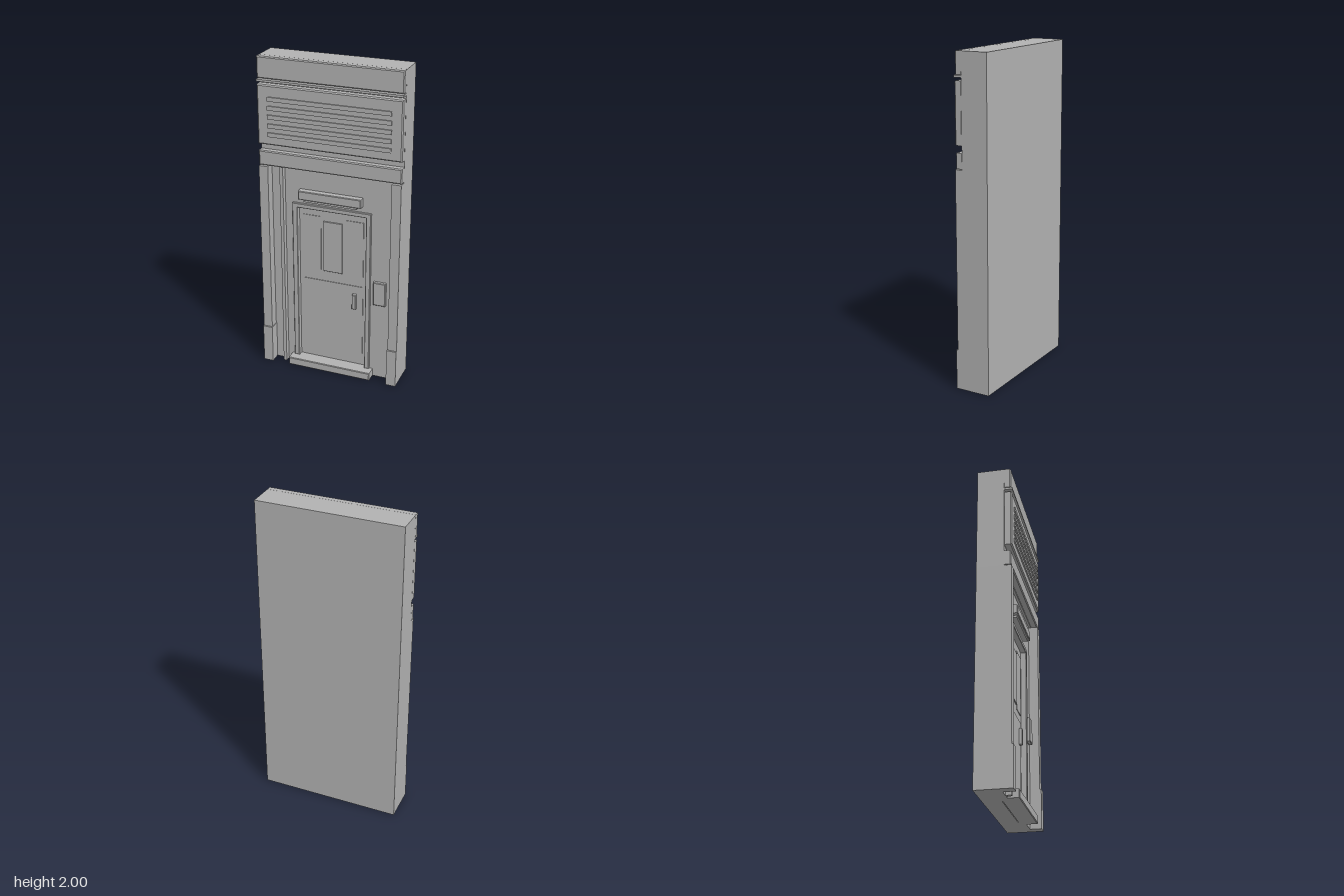
import * as THREE from 'three';

export function createModel() {
  const model = new THREE.Group();
  model.name = 'doorFacade';
  const grey = new THREE.MeshStandardMaterial({ color: 0xb2b2b2 });
  grey.name = 'plain grey';

  // Box given by its limits on each axis; an optional bevel chamfers the edges.
  function block(name, x0, x1, y0, y1, z0, z1, bevel = 0) {
    const w = x1 - x0, h = y1 - y0, d = z1 - z0;
    let geo;
    if (bevel > 0) {
      const a = w / 2 - bevel, b = h / 2 - bevel;
      const shape = new THREE.Shape([
        new THREE.Vector2(-a, -b), new THREE.Vector2(a, -b),
        new THREE.Vector2(a, b), new THREE.Vector2(-a, b),
      ]);
      geo = new THREE.ExtrudeGeometry(shape, {
        depth: d - 2 * bevel, bevelEnabled: true, bevelSegments: 1,
        bevelSize: bevel, bevelThickness: bevel,
      });
      geo.translate(0, 0, bevel - d / 2);
    } else {
      geo = new THREE.BoxGeometry(w, h, d);
    }
    const mesh = new THREE.Mesh(geo, grey);
    mesh.name = name;
    mesh.position.set((x0 + x1) / 2, (y0 + y1) / 2, (z0 + z1) / 2);
    model.add(mesh);
    return mesh;
  }

  const W = 0.445, BACK = -0.11, WALL = 0.04, DOOR = 0.02, TOP = 1.335;

  // Upper wall, and lower wall built around the door opening
  block('upperWall', -W, W, TOP, 2, BACK, 0.055);
  block('lowerWallCore', -W, W, 0, TOP, BACK, 0);
  for (const s of [-1, 1]) {
    const [a, b] = s < 0 ? [-W, -0.22] : [0.22, W];
    block('lowerWallSide', a, b, 0, TOP, 0, WALL);
  }
  block('lowerWallHead', -0.22, 0.22, 1.08, TOP, 0, WALL);

  // Corner pilasters with plinths
  for (const s of [-1, 1]) {
    const span = (inner) => (s < 0 ? [-W, -inner] : [inner, W]);
    block('pilaster', ...span(0.387), 0, TOP, WALL, 0.1);
    block('plinth', ...span(0.383), 0, 0.245, WALL, 0.11);
  }

  // Horizontal bands on the upper wall
  block('lintel', -W, W, 1.34, 1.432, 0.05, 0.096, 0.006);
  block('louverPanel', -W, W, 1.473, 1.836, 0.05, 0.1, 0.007);
  block('ledge', -W, W, 1.853, 1.866, 0.05, 0.104);
  block('topBand', -W, W, 1.87, 2, 0.05, 0.094, 0.006);
  for (let i = 0; i < 5; i++) {
    const y = 1.754 - i * 0.054;
    block('louverSlat', -0.38, 0.38, y - 0.013, y + 0.013, 0.098, 0.108);
  }

  // Door frame and sill
  block('frameLeft', 0.22, 0.25, 0.05, 1.108, DOOR, 0.055, 0.003);
  block('frameRight', -0.253, -0.22, 0.05, 1.108, DOOR, 0.055, 0.003);
  block('frameHead', -0.253, 0.25, 1.08, 1.108, DOOR, 0.055, 0.003);
  block('sill', -0.272, 0.272, 0, 0.05, 0, 0.108, 0.004);

  // Door leaf with raised panels and handle
  block('doorLeaf', -0.22, 0.22, 0.05, 1.08, 0, DOOR);
  block('sidePanel', -0.195, -0.079, 0.65, 1.03, DOOR, DOOR + 0.004);
  block('sidePanel', 0.079, 0.195, 0.65, 1.03, DOOR, DOOR + 0.004);
  block('lowerPanel', -0.195, 0.195, 0.1, 0.6, DOOR, DOOR + 0.004);
  block('doorWindow', -0.063, 0.06, 0.67, 1.003, DOOR, DOOR + 0.008, 0.002);
  block('handle', 0.13, 0.155, 0.448, 0.547, DOOR, 0.045, 0.003);

  // Lamp over the door, wall keypad and vertical conduit
  block('lamp', -0.202, 0.197, 1.147, 1.202, WALL, 0.086, 0.004);
  block('lampDiffuser', -0.17, 0.165, 1.132, 1.147, WALL, 0.075);
  block('keypad', 0.274, 0.352, 0.517, 0.67, WALL, 0.065, 0.004);
  block('conduit', -0.323, -0.302, 0, TOP, WALL, 0.075);

  return model;
}
